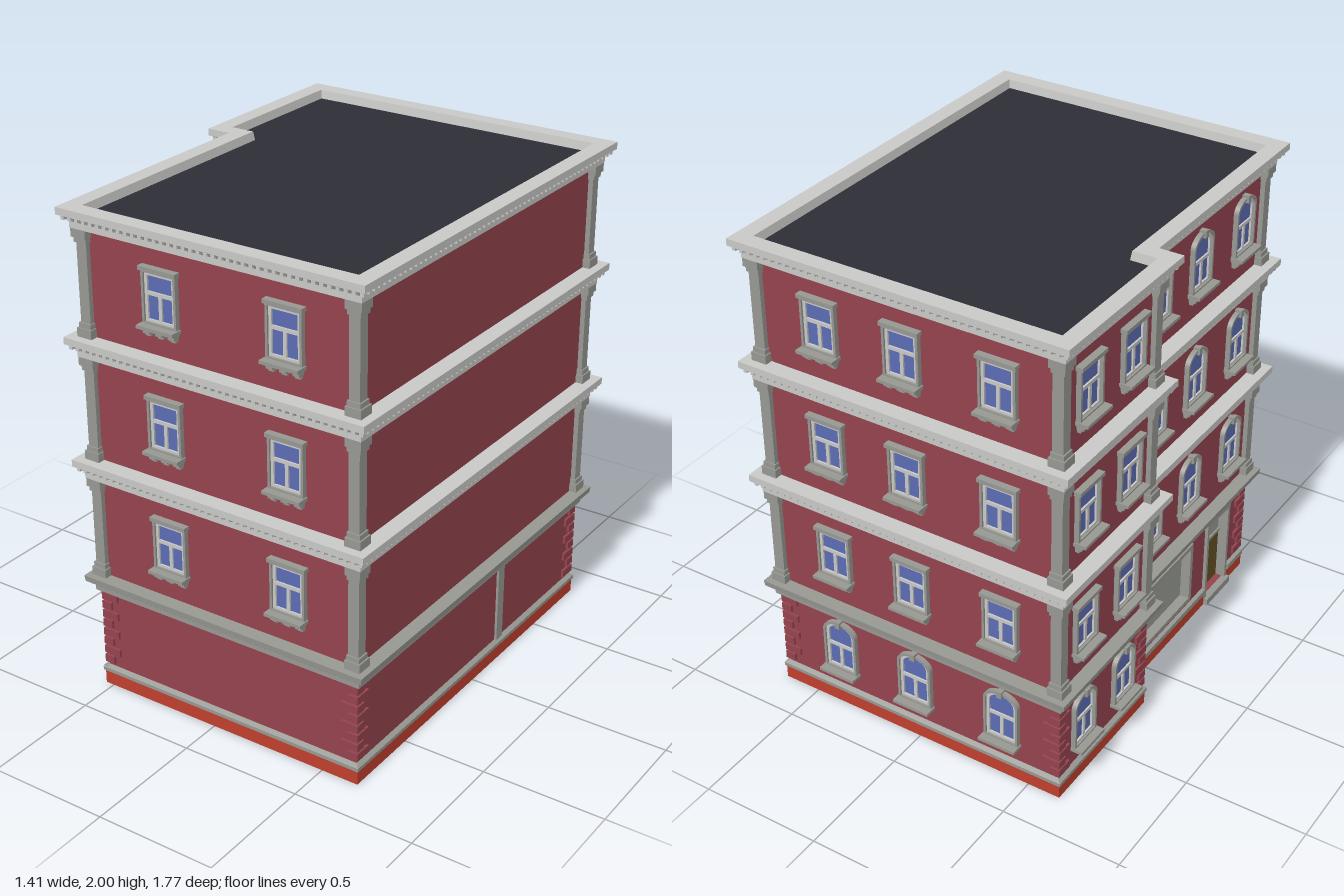
import * as THREE from 'three';
import { mergeGeometries } from 'three/addons/utils/BufferGeometryUtils.js';

const mat = (name, color, side = THREE.FrontSide) => {
  const m = new THREE.MeshStandardMaterial({ color, side });
  m.name = name;
  return m;
};

// Footprint corners [x, z]: front, right, back, left bay, recess
const FOOT = [[-0.525, 0.815], [0.645, 0.815], [0.645, -0.815], [-0.625, -0.815], [-0.625, -0.2], [-0.525, -0.2]];
const RECESS = 5;
const N = FOOT.length;
const edgeNormal = i => {
  const [a, b] = [FOOT[i], FOOT[(i + 1) % N]];
  const dx = b[0] - a[0], dz = b[1] - a[1], l = Math.hypot(dx, dz);
  return [-dz / l, dx / l];
};
// Footprint corner pushed outward by d with a mitre
const corner = (i, d) => {
  const k = i % N, p = edgeNormal((k + N - 1) % N), q = edgeNormal(k);
  return [FOOT[k][0] + (p[0] + q[0]) * d, FOOT[k][1] + (p[1] + q[1]) * d];
};

// Sweeps a profile of [offset, y] points around the footprint
function sweep(profile, skip = -1) {
  const pos = [];
  for (let i = 0; i < N; i++) {
    if (i === skip) continue;
    for (let j = 0; j < profile.length - 1; j++) {
      const at = (c, [d, y]) => { const [x, z] = corner(c, d); return [x, y, z]; };
      const a = at(i, profile[j]), b = at(i + 1, profile[j]);
      const c = at(i + 1, profile[j + 1]), d = at(i, profile[j + 1]);
      pos.push(...a, ...b, ...c, ...a, ...c, ...d);
    }
  }
  const g = new THREE.BufferGeometry();
  g.setAttribute('position', new THREE.Float32BufferAttribute(pos, 3));
  g.computeVertexNormals();
  return g;
}

const box = (w, h, d, x = 0, y = 0, z = 0) => new THREE.BoxGeometry(w, h, d).translate(x, y, z);

// Flat slab in the shape of the footprint
const slab = (d, y) => new THREE.ShapeGeometry(new THREE.Shape(
  FOOT.map((_, i) => { const [x, z] = corner(i, d); return new THREE.Vector2(x, -z); })
)).rotateX(-Math.PI / 2).translate(0, y, 0);

// Opening outline with a square or arched head
function outline(w, y0, y1, rise, Type = THREE.Shape) {
  const s = new Type();
  s.moveTo(-w / 2, y0);
  s.lineTo(w / 2, y0);
  s.lineTo(w / 2, y1 - rise);
  if (rise) s.absellipse(0, y1 - rise, w / 2, rise, 0, Math.PI, false);
  else s.lineTo(-w / 2, y1);
  s.closePath();
  return s;
}
function frame(w, y0, y1, rise, t, depth, z) {
  const s = outline(w, y0, y1, rise);
  s.holes.push(outline(w - 2 * t, y0 + t, y1 - t, rise && rise - t / 2, THREE.Path));
  return new THREE.ExtrudeGeometry(s, { depth, bevelEnabled: false, curveSegments: 10 }).translate(0, 0, z);
}

export function createModel() {
  const M = {
    wall: mat('brick red', 0x94434e, THREE.DoubleSide),
    plinth: mat('plinth orange red', 0xbf3f2e),
    light: mat('light stone', 0xc8c8c6),
    grey: mat('grey stone', 0x979792),
    glass: mat('blue glass', 0x5c6cb4),
    roof: mat('dark roof', 0x2d2d36),
    ceiling: mat('dark ceiling', 0x464644, THREE.DoubleSide),
    door: mat('door brown', 0x645024),
    shop: mat('shop glass', 0x999b96),
  };
  const model = new THREE.Group();
  model.name = 'building';
  const add = (parent, name, geo, material) => {
    const m = new THREE.Mesh(geo, material);
    m.name = name;
    parent.add(m);
    return m;
  };

  // Walls, roof and ground floor ceiling
  add(model, 'groundWalls', sweep([[0, 0], [0, 0.45]], RECESS), M.wall);
  add(model, 'upperWalls', sweep([[0, 0.44], [0, 1.97]]), M.wall);
  add(model, 'roof', slab(0, 1.965), M.roof);
  add(model, 'ceiling', slab(0, 0.44), M.ceiling);

  // Plinth and base band
  add(model, 'plinth', sweep([[0, 0], [0.012, 0], [0.012, 0.057], [0, 0.057]], RECESS), M.plinth);
  add(model, 'baseBand', sweep([[0, 0.057], [0.018, 0.06], [0.018, 0.075], [0, 0.085]], RECESS), M.grey);

  // Cornices: plain one over the ground floor, toothed ones above
  add(model, 'lowerCornice', sweep([[0, 0.428], [0.025, 0.43], [0.025, 0.455], [0.035, 0.458], [0.052, 0.472], [0.055, 0.497], [0, 0.5]]), M.grey);
  for (const top of [1, 1.5, 2]) {
    const profile = [[0, -0.083], [0.035, -0.08], [0.035, -0.055], [0.06, -0.03], [0.068, -0.028], [0.068, 0], [0, 0]];
    if (top === 2) profile.push([-0.006, -0.04]);
    add(model, 'cornice', sweep(profile.map(([d, y]) => [d, y + top])), M.light);
    const teeth = [];
    for (let i = 0; i < N; i++) {
      const a = corner(i, 0.048), b = corner(i + 1, 0.048);
      const n = Math.round(Math.hypot(b[0] - a[0], b[1] - a[1]) / 0.032);
      for (let k = 0; k <= n; k++) {
        const t = k / n;
        teeth.push(box(0.015, 0.018, 0.015, a[0] + (b[0] - a[0]) * t, top - 0.039, a[1] + (b[1] - a[1]) * t));
      }
    }
    add(model, 'corniceTeeth', mergeGeometries(teeth), M.light);
  }

  // Corner pilasters and ground floor quoins on the outer corners
  for (let i = 0; i < N - 1; i++) {
    const p = edgeNormal((i + N - 1) % N), q = edgeNormal(i);
    const sx = p[0] + q[0], sz = p[1] + q[1], [x, z] = FOOT[i];
    const post = (w, h, out, y, wz = w) => box(w, h, wz, x + sx * (out - w / 2), y, z + sz * (out - wz / 2));
    for (const y of [0.5, 1, 1.5]) {
      add(model, 'pilaster', mergeGeometries([
        post(0.045, 0.42, 0.02, y + 0.21),
        post(0.066, 0.035, 0.032, y + 0.0175), post(0.055, 0.02, 0.026, y + 0.045),
        post(0.055, 0.02, 0.026, y + 0.375), post(0.066, 0.035, 0.033, y + 0.403),
      ]), M.grey);
    }
    const quoins = [];
    for (let k = 0; k < 8; k++) {
      const long = k % 2 ? 0.075 : 0.045, short = k % 2 ? 0.045 : 0.075;
      quoins.push(post(long, 0.032, 0.011, 0.115 + k * 0.041, short));
    }
    add(model, 'quoins', mergeGeometries(quoins), M.wall);
  }
  add(model, 'sideStrip', box(0.012, 0.345, 0.045, 0.649, 0.257, -0.21), M.grey);

  // Windows, built around the middle of the sill
  function makeWindow(arched, brackets) {
    const g = new THREE.Group(), rise = arched ? 0.05 : 0, h = arched ? 0.235 : 0.207;
    g.name = arched ? 'archedWindow' : 'window';
    add(g, 'pane', new THREE.ShapeGeometry(outline(0.13, 0, h - 0.008, rise && rise - 0.004), 10).translate(0, 0, 0.004), M.glass);
    add(g, 'surround', frame(0.152, 0, h, rise, 0.01, 0.02, 0), M.grey);
    add(g, 'sash', mergeGeometries([
      frame(0.134, 0.006, h - 0.008, rise && rise - 0.005, 0.013, 0.012, 0).toNonIndexed(),
      box(0.115, 0.014, 0.011, 0, 0.118, 0.0055).toNonIndexed(),
      box(0.014, 0.11, 0.011, 0, 0.062, 0.0055).toNonIndexed(),
    ]), M.light);
    const trim = [box(0.162, 0.013, 0.052, 0, -0.003, 0.026)];
    if (arched) trim.push(box(0.022, 0.03, 0.028, 0, h - 0.006, 0.014));
    else trim.push(box(0.164, 0.016, 0.028, 0, h + 0.005, 0.014));
    if (brackets) {
      trim.push(box(0.15, 0.01, 0.036, 0, -0.014, 0.018));
      for (const x of [-0.056, 0, 0.056]) {
        trim.push(box(0.028, 0.014, 0.028, x, -0.026, 0.014), box(0.022, 0.012, 0.016, x, -0.039, 0.008));
      }
    }
    add(g, 'sillAndHead', mergeGeometries(trim), M.grey);
    return g;
  }
  const kinds = {
    square: makeWindow(false, true),
    arched: makeWindow(true, true),
    ground: makeWindow(true, false),
  };
  const place = (kind, x, y, z, turn) => {
    const w = kinds[kind].clone();
    w.position.set(x, y, z);
    w.rotation.y = turn;
    model.add(w);
  };
  const LEFT = -Math.PI / 2;
  for (const y of [0.62, 1.12, 1.62]) {
    for (const x of [-0.18, 0.355]) place('square', x, y, 0.815, 0);
    for (const x of [0.37, 0.015, -0.38]) place('square', x, y, -0.815, Math.PI);
    for (const z of [-0.65, -0.36]) place('square', -0.625, y, z, LEFT);
    for (const z of [0, 0.31, 0.65]) place('arched', -0.525, y, z, LEFT);
  }
  for (const x of [0.37, 0.015, -0.38]) place('ground', x, 0.165, -0.815, Math.PI);
  for (const z of [-0.65, -0.36]) place('ground', -0.625, 0.165, z, LEFT);

  // Shop front on the recessed side; local x runs along the wall
  const shop = new THREE.Group();
  shop.name = 'shopFront';
  shop.position.x = -0.525;
  shop.rotation.y = LEFT;
  model.add(shop);
  const rect = (x0, y0, x1, y1, Type) => new Type().moveTo(x0, y0).lineTo(x1, y0).lineTo(x1, y1).lineTo(x0, y1).closePath();
  const wall = rect(-0.2, 0, 0.815, 0.45, THREE.Shape);
  wall.holes.push(rect(-0.12, 0.115, 0.36, 0.385, THREE.Path), rect(0.5, 0.03, 0.68, 0.405, THREE.Path));
  add(shop, 'shopWall', new THREE.ExtrudeGeometry(wall, { depth: 0.04, bevelEnabled: false }).translate(0, 0, -0.04), M.wall);
  for (const [x0, x1] of [[-0.2, 0.49], [0.69, 0.827]]) {
    const w = x1 - x0, c = (x0 + x1) / 2;
    add(shop, 'shopPlinth', box(w, 0.057, 0.012, c, 0.0285, 0.006), M.plinth);
    add(shop, 'shopBand', box(w, 0.023, 0.018, c, 0.069, 0.009), M.grey);
  }
  add(shop, 'shopPane', box(0.48, 0.27, 0.009, 0.12, 0.25, -0.034), M.shop);
  add(shop, 'shopFrame', frame(0.5, 0.105, 0.395, 0, 0.02, 0.052, -0.04).translate(0.12, 0, 0), M.grey);
  add(shop, 'door', box(0.18, 0.24, 0.012, 0.59, 0.15, -0.034), M.door);
  add(shop, 'doorTransom', box(0.18, 0.13, 0.009, 0.59, 0.335, -0.034), M.shop);
  add(shop, 'doorFrame', mergeGeometries([
    box(0.016, 0.385, 0.054, 0.5, 0.22, -0.013), box(0.016, 0.385, 0.054, 0.68, 0.22, -0.013),
    box(0.2, 0.016, 0.056, 0.59, 0.405, -0.012), box(0.18, 0.014, 0.02, 0.59, 0.27, -0.032),
  ]), M.grey);
  add(shop, 'doorStep', box(0.2, 0.03, 0.07, 0.59, 0.015, -0.005), M.grey);
  return model;
}
